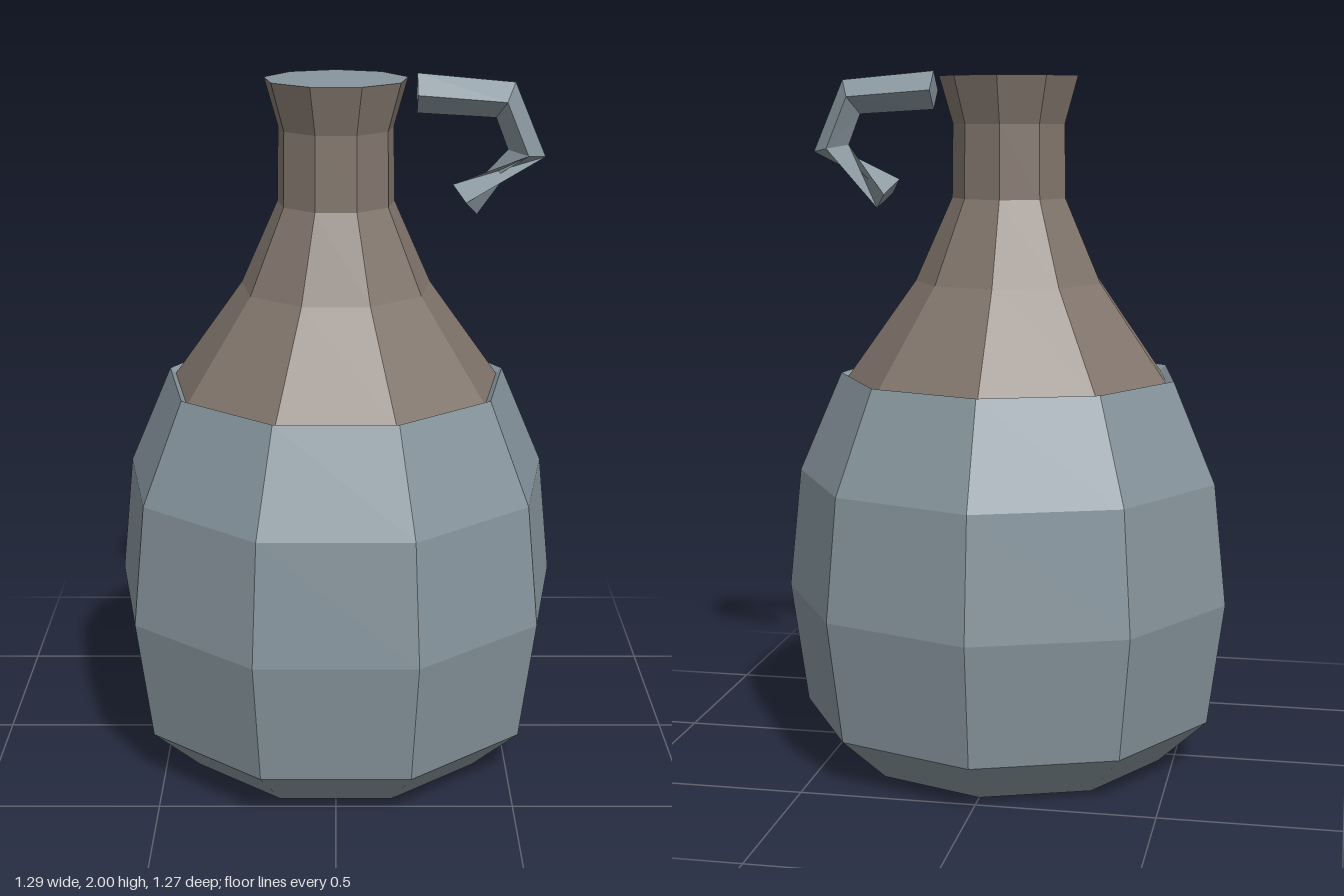
import * as THREE from 'three';

const SIDES = 9;
const AXIS_Z = 0.02; // jug axis sits slightly forward so the nine-sided body is centred

export function createModel() {
  const group = new THREE.Group();
  const glaze = new THREE.MeshStandardMaterial({ color: 0x87959d, flatShading: true });
  glaze.name = 'blueGrey';
  const clay = new THREE.MeshStandardMaterial({ color: 0x82766d, flatShading: true });
  clay.name = 'brown';

  const add = (name, geometry, material) => {
    const mesh = new THREE.Mesh(geometry, material);
    mesh.name = name;
    mesh.position.z = AXIS_Z;
    group.add(mesh);
  };

  // Nine-sided turned part with a corner pointing straight back
  const turned = (profile) => new THREE.LatheGeometry(
    profile.map(([r, y]) => new THREE.Vector2(r, y)), SIDES, Math.PI);

  // Round belly with a small inward rim
  add('body', turned([
    [0, 0], [0.464, 0], [0.609, 0.135], [0.657, 0.49],
    [0.62, 0.84], [0.495, 1.13], [0.478, 1.115],
  ]), glaze);

  // Tapered shoulder and flared neck
  add('neck', turned([
    [0.478, 1.115], [0.275, 1.40], [0.168, 1.64], [0.165, 1.85], [0.204, 1.985],
  ]), clay);

  // Flat closed mouth
  add('mouth', turned([[0.204, 1.985], [0, 1.985]]), glaze);

  // Hooked handle: diamond sections [outer x, outer y, inner x, inner y]
  const sections = [
    [0.225, 2.0, 0.225, 1.89],
    [0.497, 1.975, 0.445, 1.877],
    [0.586, 1.768, 0.48, 1.788],
    [0.397, 1.605, 0.328, 1.69],
  ];
  const half = 0.055;
  const rings = sections.map(([ox, oy, ix, iy]) => {
    const mx = (ox + ix) / 2, my = (oy + iy) / 2;
    return [[ox, oy, 0], [mx, my, half], [ix, iy, 0], [mx, my, -half]];
  });
  // Quarter twist in the last segment
  rings[3].push(rings[3].shift());

  const positions = [];
  const quad = (a, b, c, d) => positions.push(...a, ...b, ...c, ...a, ...c, ...d);
  for (let i = 0; i < rings.length - 1; i++) {
    for (let k = 0; k < 4; k++) {
      const n = (k + 1) % 4;
      quad(rings[i][k], rings[i][n], rings[i + 1][n], rings[i + 1][k]);
    }
  }
  quad(...[...rings[0]].reverse());
  quad(...rings[rings.length - 1]);
  const handle = new THREE.BufferGeometry();
  handle.setAttribute('position', new THREE.Float32BufferAttribute(positions, 3));
  handle.computeVertexNormals();
  add('handle', handle, glaze);

  return group;
}
